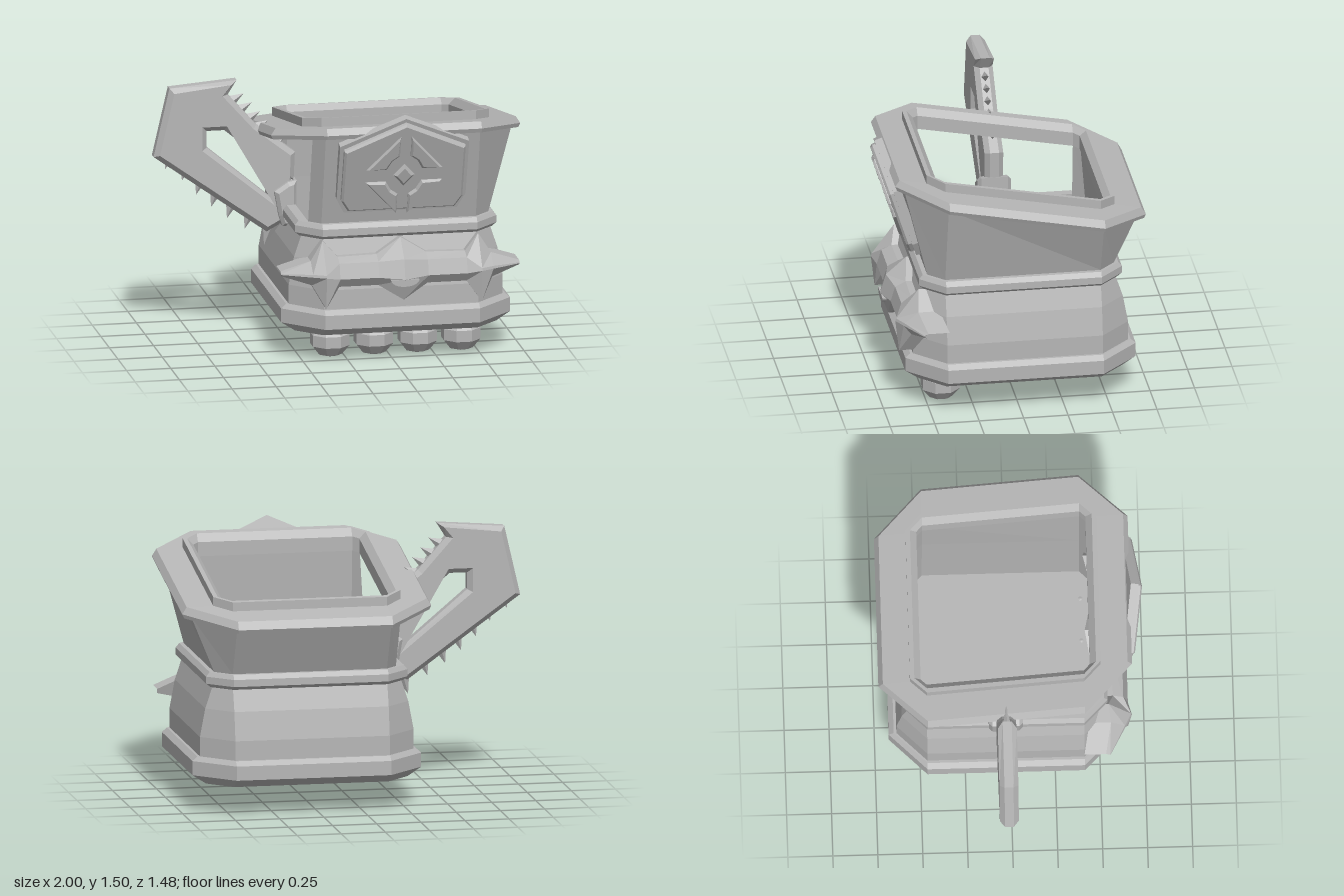
import * as THREE from 'three';

const grey = new THREE.MeshStandardMaterial({ color: 0xb6b6b6 });
const CX = 0.29, CZ = -0.025, FLAT = 0.437, SLOPE = 0.19;

function mesh(name, geometry, parent) {
  const m = new THREE.Mesh(geometry, grey);
  m.name = name;
  parent.add(m);
  return m;
}

// Joins rings of points with flat faces
function loft(rings, { closed = true, skip = -1 } = {}) {
  const pos = [], n = rings[0].length;
  for (let k = 0; k < rings.length - 1; k++) {
    for (let i = 0; i < (closed ? n : n - 1); i++) {
      if (i === skip) continue;
      const j = (i + 1) % n;
      const a = rings[k][i], b = rings[k + 1][i], c = rings[k + 1][j], d = rings[k][j];
      pos.push(...a, ...b, ...c, ...a, ...c, ...d);
    }
  }
  const g = new THREE.BufferGeometry();
  g.setAttribute('position', new THREE.Float32BufferAttribute(pos, 3));
  g.computeVertexNormals();
  return g;
}

// Square with cut corners; slope tilts the ring, clip trims its -x side
function octagon([h, y, slope = 0], clip = 9) {
  const f = Math.min(FLAT, h);
  return [[h, -f], [h, f], [f, h], [-f, h], [-h, f], [-h, -f], [-f, -h], [f, -h]].map(([x, z]) => {
    if (x < -clip) {
      z = Math.sign(z) * (h - (clip - f));
      x = -clip;
    }
    return [CX + x, y + slope * (z + CZ), CZ + z];
  });
}

function polygon(points) {
  return new THREE.Shape(points.map(([x, y]) => new THREE.Vector2(x, y)));
}

function plate(shape, depth, bevel) {
  return new THREE.ExtrudeGeometry(shape, {
    depth, bevelEnabled: bevel > 0, bevelThickness: bevel, bevelSize: bevel,
    bevelOffset: -bevel, bevelSegments: 1, curveSegments: 8,
  });
}

function addVessel(root) {
  // Base moulding, belly, waist band, then the inside and its floor
  const lower = [
    [0.001, 0.155], [0.57, 0.155], [0.648, 0.205], [0.648, 0.285], [0.62, 0.31], [0.605, 0.31],
    [0.605, 0.42], [0.575, 0.58], [0.535, 0.7], [0.545, 0.7], [0.57, 0.72], [0.57, 0.76],
    [0.55, 0.785], [0.5, 0.785], [0.53, 0.2], [0.001, 0.2],
  ];
  mesh('lowerBody', loft(lower.map((p) => octagon(p))), root);

  // Flared upper wall, open on the handle side
  const outer = [[0.525, 0.785], [0.655, 1.19, SLOPE]];
  mesh('upperWall', loft(outer.map((p) => octagon(p, 0.5)), { skip: 4 }), root);
  const inner = [[0.47, 1.24, SLOPE], [0.5, 0.785]];
  mesh('innerWall', loft(inner.map((p) => octagon(p)), { skip: 4 }), root);

  // Sloping stepped rim
  const rim = [
    [0.47, 1.18], [0.64, 1.18], [0.695, 1.182], [0.705, 1.205], [0.68, 1.245], [0.53, 1.247],
    [0.53, 1.297], [0.505, 1.297], [0.47, 1.26], [0.47, 1.18],
  ];
  mesh('rim', loft(rim.map(([h, y]) => octagon([h, y, SLOPE]))), root);
}

function addShield(root) {
  const shield = new THREE.Group();
  shield.name = 'shield';
  shield.position.set(CX, 0.867, 0.5);
  shield.rotation.x = 0.315;
  root.add(shield);
  const outline = (s, y0) => polygon([
    [0, 0.6 - y0], [-0.365 * s, 0.435 - y0 * 0.8], [-0.365 * s, 0.09], [-0.32 * s, y0],
    [0.32 * s, y0], [0.365 * s, 0.09], [0.365 * s, 0.435 - y0 * 0.8],
  ].reverse());
  mesh('shieldBack', plate(outline(1, 0), 0.045, 0), shield);
  mesh('shieldFace', plate(outline(0.94, 0.022), 0.03, 0.012), shield).position.z = 0.035;

  // Emblem: four angled bars around a diamond
  const emblem = new THREE.Group();
  emblem.name = 'emblem';
  emblem.position.set(0, 0.255, 0.07);
  shield.add(emblem);
  for (const sx of [-1, 1]) {
    for (const sy of [-1, 1]) {
      const pts = [[0.03, 0.25], [0.03, 0.125], [0.07, 0.095], [0.1, 0.04], [0.215, 0.04]]
        .map(([x, y]) => [x * sx, y * sy]);
      mesh('emblemBar', plate(polygon(pts), 0.012, 0.012), emblem);
    }
  }
  mesh('emblemDiamond', plate(polygon([[0, 0.07], [-0.06, 0], [0, -0.07], [0.06, 0]]), 0.01, 0.015), emblem);
}

// Spiked ornament across the belly, built from vertical sections
function addBanner(root) {
  // distance from the middle, top, bottom, ridge top, ridge bottom, ridge height
  const half = [
    [0, 0.7, 0.365, 0.6, 0.49, 0.085], [0.14, 0.615, 0.45, 0.585, 0.5, 0.05],
    [0.36, 0.61, 0.45, 0.585, 0.5, 0.05], [0.44, 0.7, 0.335, 0.53, 0.515, 0.075],
    [0.51, 0.59, 0.46, 0.53, 0.515, 0.06], [0.675, 0.53, 0.505, 0.52, 0.515, 0.02],
  ];
  const columns = [...half.slice(1).reverse().map(([u, ...r]) => [-u, ...r]), ...half];
  const rings = columns.map(([u, top, bottom, r1, r2, bulge]) => {
    const bend = Math.max(0, Math.abs(u) - 0.44) * 0.3;
    const z = (y) => 0.6 - (y - 0.53) * 0.3 - bend;
    return [
      [top, -0.12], [top, 0], [r1, bulge], [r2, bulge], [bottom, 0], [bottom, -0.12],
    ].map(([y, dz]) => [CX + u, y, z(y) + dz]);
  });
  const banner = new THREE.Group();
  banner.name = 'banner';
  root.add(banner);
  mesh('bannerBody', loft(rings.map((r) => r.slice().reverse())), banner);
  // Small half-round lip
  const lip = new THREE.Shape().absarc(0, 0, 0.08, Math.PI, Math.PI * 2);
  const m = mesh('bannerLip', plate(lip, 0.06, 0), banner);
  m.scale.y = 0.5;
  m.position.set(CX, 0.49, 0.635);
}

function addToes(root) {
  for (let i = 0; i < 4; i++) {
    const g = new THREE.SphereGeometry(0.118, 8, 5, Math.PI / 8).toNonIndexed();
    g.computeVertexNormals();
    const toe = mesh('toe', g, root);
    toe.scale.y = 0.88;
    toe.position.set(-0.083 + i * 0.247, 0.1, 0.415);
  }
}

function addHandle(root) {
  const handle = new THREE.Group();
  handle.name = 'handle';
  handle.position.z = -0.025;
  root.add(handle);

  const shape = polygon([
    [-1.0, 1.08], [-0.36, 0.62], [-0.25, 0.68], [-0.21, 0.85], [-0.2, 1.07],
    [-0.42, 1.24], [-0.58, 1.42], [-0.53, 1.5], [-0.91, 1.47],
  ]);
  shape.holes.push(polygon([
    [-0.7, 1.215], [-0.7, 1.12], [-0.32, 0.8], [-0.31, 0.88], [-0.25, 0.92], [-0.6, 1.215],
  ]));
  const arms = plate(shape, 0.05, 0.028);
  arms.translate(0, 0, -0.025);
  mesh('handleArms', arms, handle);

  // Rows of thorns along both arms
  const thorn = (x, y, angle, length) => {
    const g = new THREE.ConeGeometry(0.052, length, 4).toNonIndexed();
    g.translate(0, -length / 2, 0);
    g.computeVertexNormals();
    const m = mesh('thorn', g, handle);
    m.scale.z = 0.75;
    m.position.set(x, y, 0);
    m.rotation.z = angle;
  };
  const lowerTips = [[-0.93, 1.0], [-0.835, 0.93], [-0.755, 0.845], [-0.67, 0.77], [-0.58, 0.7], [-0.48, 0.635], [-0.37, 0.535]];
  lowerTips.forEach(([x, y]) => thorn(x, y, Math.PI - 0.3, 0.14));
  for (let i = 0; i < 6; i++) thorn(-0.485 + i * 0.046, 1.415 - i * 0.054, -1.05, 0.13);

  // Clasp that joins the handle to the waist
  const clasp = plate(polygon([[-0.28, 0.66], [-0.2, 0.66], [-0.2, 0.92], [-0.25, 0.91], [-0.325, 0.86], [-0.3, 0.72]]), 0.15, 0.02);
  clasp.translate(0, 0, -0.075);
  mesh('handleClasp', clasp, handle);
}

export function createModel() {
  const root = new THREE.Group();
  root.name = 'mug';
  addVessel(root);
  addShield(root);
  addBanner(root);
  addToes(root);
  addHandle(root);
  return root;
}
